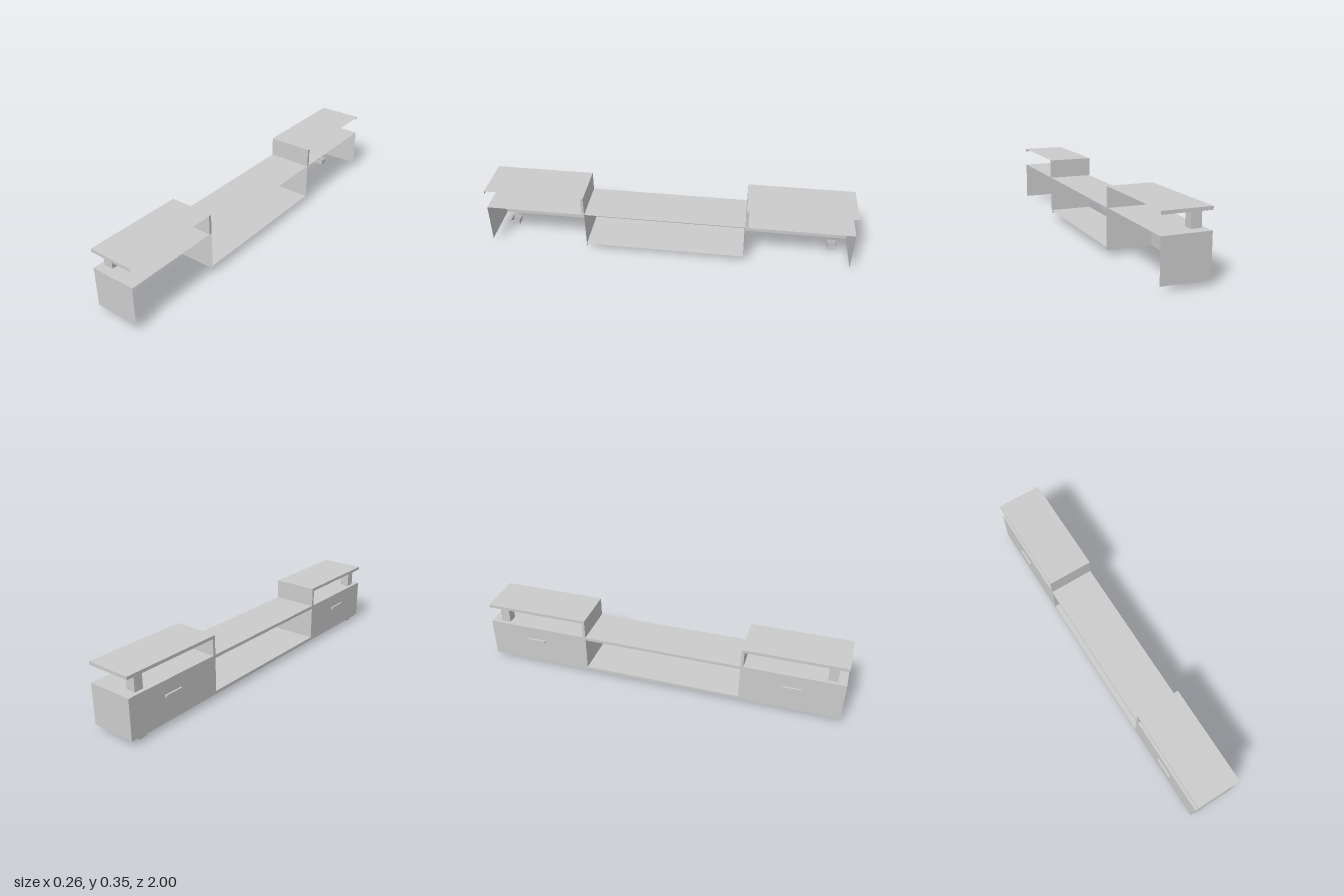
import * as THREE from 'three';

const material = new THREE.MeshStandardMaterial({ color: 0xcccccc, side: THREE.DoubleSide });

// Depth of the furniture (drawer fronts face -x) and the main heights
const XF = -0.121, XB = 0.129;
const BASE = 0.027, DECK = 0.247, SHELF = 0.355, T = 0.017;

// Thin rectangular panel between two corners that share one coordinate
function panel(name, a, b) {
  const size = b.map((v, i) => Math.abs(v - a[i]));
  const flat = size.indexOf(Math.min(...size));
  let geometry;
  if (flat === 0) geometry = new THREE.PlaneGeometry(size[2], size[1]).rotateY(-Math.PI / 2);
  else if (flat === 1) geometry = new THREE.PlaneGeometry(size[0], size[2]).rotateX(-Math.PI / 2);
  else geometry = new THREE.PlaneGeometry(size[0], size[1]);
  const mesh = new THREE.Mesh(geometry, material);
  mesh.name = name;
  mesh.position.set(...a.map((v, i) => (v + b[i]) / 2));
  return mesh;
}

// Solid block between two corners
function block(name, a, b) {
  const mesh = new THREE.Mesh(new THREE.BoxGeometry(...b.map((v, i) => Math.abs(v - a[i]))), material);
  mesh.name = name;
  mesh.position.set(...a.map((v, i) => (v + b[i]) / 2));
  return mesh;
}

// Square tube, open at top and bottom
function tube(name, x0, x1, y0, y1, z0, z1) {
  const group = new THREE.Group();
  group.name = name;
  for (const x of [x0, x1]) group.add(panel(name + 'Side', [x, y0, z0], [x, y1, z1]));
  for (const z of [z0, z1]) group.add(panel(name + 'End', [x0, y0, z], [x1, y1, z]));
  return group;
}

// One end cabinet with its raised shelf; s is the end it sits at, inner the z of its divider
function cabinet(name, s, inner, post) {
  const group = new THREE.Group();
  group.name = name;
  const end = s;
  group.add(
    // Lower box, open at the back and underneath
    panel('cabinetTop', [XF, DECK, inner], [XB, DECK, end]),
    panel('drawerFront', [XF, BASE, inner], [XF, DECK, end]),
    panel('outerSide', [XF, BASE, end], [XB, DECK, end]),
    panel('innerSide', [XF, BASE, inner], [XB, DECK, inner]),
    block('handle', [XF - 0.01, 0.16, s * 0.675], [XF, 0.173, s * 0.782]),
    // Raised shelf with edge strips, carried by a wall and a post
    panel('raisedShelf', [XF, SHELF, inner], [XB, SHELF, end]),
    panel('shelfFrontEdge', [XF, SHELF - T, inner], [XF, SHELF, end]),
    panel('shelfEndEdge', [XF, SHELF - T, end], [XB, SHELF, end]),
    block('shelfWall', [XF, DECK, inner], [XB, SHELF - 0.001, inner + s * 0.015]),
    tube('post', -0.1, -0.046, DECK, SHELF, post, post + 0.05),
    tube('foot', -0.1, -0.046, 0, BASE, post, post + 0.05),
  );
  return group;
}

export function createModel() {
  const model = new THREE.Group();
  model.name = 'mediaUnit';
  const z0 = -0.422, z1 = 0.453;

  model.add(cabinet('frontCabinet', 1, z1, 0.903), cabinet('rearCabinet', -1, z0, -0.943));

  // Open middle bay: two sheets, each with a front edge strip
  const bay = new THREE.Group();
  bay.name = 'middleBay';
  for (const [name, y] of [['bayTop', DECK], ['bayFloor', BASE + T]]) {
    bay.add(
      panel(name, [XF, y, z0], [XB, y, z1]),
      panel(name + 'Edge', [XF, y - T, z0], [XF, y, z1]),
    );
  }
  model.add(bay);
  return model;
}
